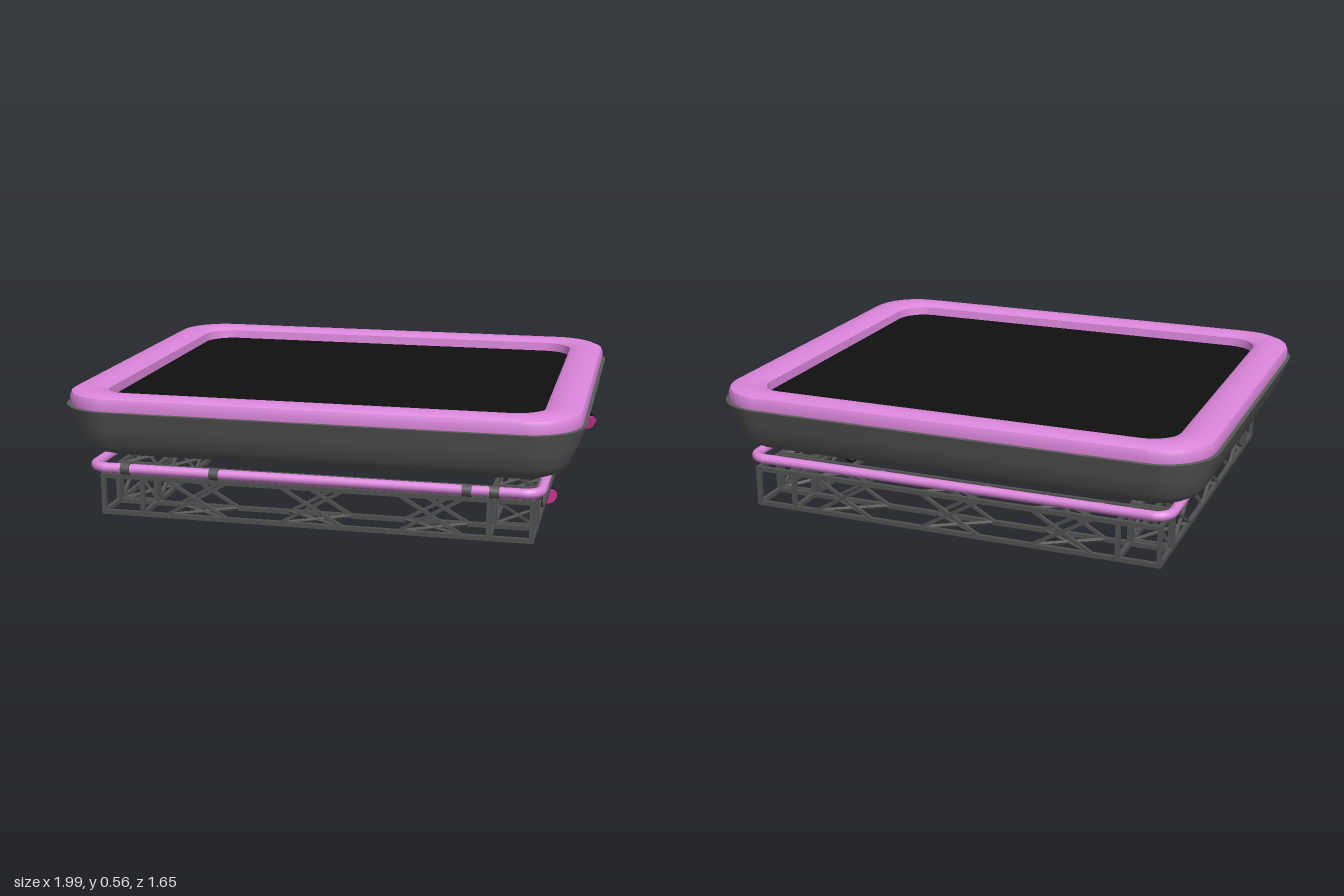
import * as THREE from 'three';
import { toCreasedNormals } from 'three/addons/utils/BufferGeometryUtils.js';

const mat = (name, color) => new THREE.MeshStandardMaterial({ name, color });

// Rounded-rectangle outline: half sizes, corner radius
function outline(hx, hz, r, n = 8) {
  const pts = [];
  [[1, 1], [-1, 1], [-1, -1], [1, -1]].forEach(([sx, sz], q) => {
    for (let i = 0; i <= n; i++) {
      const a = (q + i / n) * Math.PI / 2;
      pts.push([sx * (hx - r) + r * Math.cos(a), sz * (hz - r) + r * Math.sin(a)]);
    }
  });
  return pts;
}

// Skin a list of sections [halfX, halfZ, y, radius]
function loft(sections, crease = 0.7) {
  const pos = [], idx = [];
  let n = 0;
  for (const [hx, hz, y, r] of sections) {
    const o = outline(hx, hz, r);
    n = o.length;
    o.forEach(([x, z]) => pos.push(x, y, z));
  }
  for (let j = 0; j < sections.length - 1; j++) {
    for (let i = 0; i < n; i++) {
      const k = (i + 1) % n;
      const a = j * n + i, b = j * n + k, c = a + n, d = b + n;
      idx.push(a, c, b, b, c, d);
    }
  }
  const g = new THREE.BufferGeometry();
  g.setAttribute('position', new THREE.Float32BufferAttribute(pos, 3));
  g.setIndex(idx);
  return toCreasedNormals(g, crease);
}

export function createModel() {
  const model = new THREE.Group();
  model.name = 'inflatablePlatform';
  const pink = mat('pink vinyl', 0xdb86db);
  const grey = mat('dark grey', 0x5a5a5a);
  const steel = mat('truss grey', 0x505050);
  const black = mat('black', 0x101010);
  const magenta = mat('magenta lens', 0xd63c9c);

  const add = (name, geo, material, parent = model) => {
    const m = new THREE.Mesh(geo, material);
    m.name = name;
    parent.add(m);
    return m;
  };

  // Tub with flat underside and flared sides
  add('tub', loft([
    [0, 0, 0.3, 0], [0.86, 0.67, 0.3, 0.1], [0.9, 0.725, 0.32, 0.13], [0.93, 0.76, 0.342, 0.15],
    [0.947, 0.778, 0.365, 0.17], [0.972, 0.802, 0.43, 0.19], [0.997, 0.826, 0.5, 0.21],
    [0.96, 0.79, 0.503, 0.18],
  ]), grey);

  // Padded rim around the bed
  add('paddedRim', loft([
    [0.983, 0.812, 0.5, 0.2], [0.985, 0.814, 0.53, 0.2], [0.978, 0.807, 0.548, 0.195],
    [0.955, 0.785, 0.56, 0.185], [0.9, 0.745, 0.562, 0.15], [0.86, 0.718, 0.556, 0.13],
    [0.843, 0.702, 0.545, 0.12], [0.84, 0.698, 0.5, 0.12],
  ]), pink);
  add('bed', loft([[0.845, 0.703, 0.51, 0.12], [0, 0, 0.51, 0]]), black);

  // Tube rail under the tub
  const railPath = new THREE.CurvePath();
  const rail = outline(0.852, 0.77, 0.06, 6).map(([x, z]) => new THREE.Vector3(x, 0.28, z + 0.02));
  rail.forEach((p, i) => railPath.add(new THREE.LineCurve3(p, rail[(i + 1) % rail.length])));
  // Every corner facet gets its own ring, so sweep the outline directly
  const railGeo = () => {
    const pos = [], idx = [], n = rail.length, s = 10, r = 0.019;
    rail.forEach((p, i) => {
      const t = rail[(i + 1) % n].clone().sub(rail[(i + n - 1) % n]).normalize();
      for (let k = 0; k < s; k++) {
        const a = k / s * Math.PI * 2;
        pos.push(p.x + t.z * r * Math.cos(a), p.y + r * Math.sin(a), p.z - t.x * r * Math.cos(a));
        const u = i * s + k, v = i * s + (k + 1) % s, w = ((i + 1) % n) * s;
        idx.push(u, v, w + k, v, w + (k + 1) % s, w + k);
      }
    });
    const g = new THREE.BufferGeometry();
    g.setAttribute('position', new THREE.Float32BufferAttribute(pos, 3));
    g.setIndex(idx);
    g.computeVertexNormals();
    return g;
  };
  add('rail', railGeo(), pink);

  // Clamps on the front rail
  for (const x of [-0.71, -0.36, 0.59, 0.69]) {
    const c = add('railClamp', new THREE.CylinderGeometry(0.024, 0.024, 0.035, 12), steel);
    c.rotation.z = Math.PI / 2;
    c.position.set(x, 0.28, 0.79);
  }

  // Box trusses: square bars between two points
  const truss = new THREE.Group();
  truss.name = 'truss';
  model.add(truss);
  const up = new THREE.Vector3(0, 1, 0);
  const bar = (name, a, b, w = 0.017) => {
    const p = new THREE.Vector3(...a), d = new THREE.Vector3(...b).sub(p);
    const m = add(name, new THREE.BoxGeometry(w, d.length() + (w > 0.012 ? w : 0), w), steel, truss);
    m.position.copy(p).addScaledVector(d, 0.5);
    m.quaternion.setFromUnitVectors(up, d.normalize());
  };
  const y0 = 0.09, y1 = 0.235;
  // at(along, height, across) maps a truss's own axes to the model
  const boxTruss = (at, half, stations, c0, c1) => {
    for (const y of [y0, y1]) {
      for (const c of [c0, c1]) bar('chord', at(-half, y, c), at(half, y, c));
      for (const s of stations) bar('crossTie', at(s, y, c0), at(s, y, c1));
    }
    for (const s of stations) for (const c of [c0, c1]) bar('post', at(s, y0, c), at(s, y1, c));
    for (const m of [-0.45, 0, 0.45]) {
      for (const s of [-0.125, 0.125]) {
        for (const c of [c0, c1]) bar('sideBrace', at(m - s, y0, c), at(m + s, y1, c), 0.012);
        for (const y of [y0, y1]) bar('flatBrace', at(m - s, y, c0), at(m + s, y, c1), 0.012);
      }
    }
  };
  for (const s of [1, -1]) {
    boxTruss((u, y, c) => [u, y, s * c], 0.822, [-0.822, -0.665, 0.665, 0.822], 0.597, 0.746);
    boxTruss((u, y, c) => [s * c, y, u], 0.572, [-0.572, 0.572], 0.665, 0.822);
  }

  // Spotlights on the left side
  const spot = (x, y, z, dir) => {
    const g = new THREE.Group();
    g.name = 'spotlight';
    const add2 = (n, geo, m, py) => { add(n, geo, m, g).position.y = py; };
    add2('lampBody', new THREE.CylinderGeometry(0.036, 0.036, 0.085, 16), black, 0);
    add2('lampBack', new THREE.CylinderGeometry(0.036, 0.026, 0.014, 16), black, -0.049);
    add2('lampLens', new THREE.CylinderGeometry(0.033, 0.033, 0.006, 16), magenta, 0.044);
    g.position.set(x, y, z);
    g.quaternion.setFromUnitVectors(up, new THREE.Vector3(...dir).normalize());
    model.add(g);
    const knob = add('lampMount', new THREE.CylinderGeometry(0.007, 0.007, 0.03, 8), black);
    knob.position.set(x - 0.005, y + 0.042, z - 0.005);
  };
  spot(0.93, 0.3, -0.345, [0.55, -0.4, 0.75]);
  spot(0.8, 0.05, -0.025, [0.55, -0.22, 0.8]);

  return model;
}
